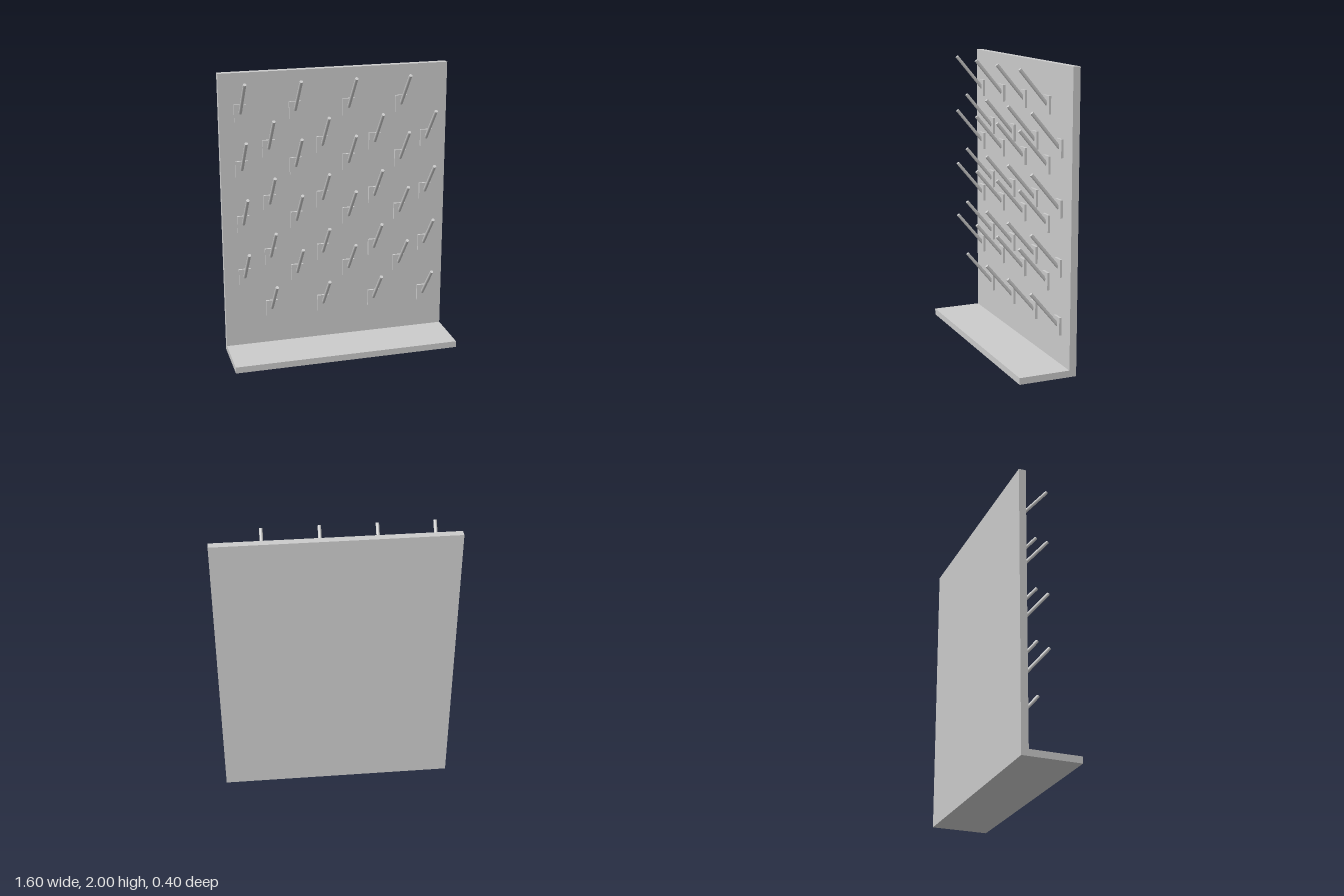
import * as THREE from 'three';

export function createModel() {
  const model = new THREE.Group();
  model.name = 'pegBoardStand';
  const material = new THREE.MeshStandardMaterial({ color: 0xcccccc });

  // L-shaped stand: upright board and foot in one profile (z, y), extruded along x
  const width = 1.596;
  const profile = new THREE.Shape([
    [-0.2, 0], [0.2, 0], [0.2, 0.045], [-0.151, 0.045], [-0.151, 2], [-0.2, 2],
  ].map(([z, y]) => new THREE.Vector2(z, y)));
  const standGeometry = new THREE.ExtrudeGeometry(profile, { depth: width, bevelEnabled: false });
  standGeometry.translate(0, 0, -width / 2).rotateY(-Math.PI / 2);
  const stand = new THREE.Mesh(standGeometry, material);
  stand.name = 'boardAndFoot';
  model.add(stand);

  // One peg: a thin rod rising forward through a small collar plate
  const plateGeometry = new THREE.BoxGeometry(0.084, 0.118, 0.016);
  const rodGeometry = new THREE.CylinderGeometry(0.0115, 0.0115, 0.314, 20);
  function addPeg(x, y) {
    const peg = new THREE.Group();
    peg.name = 'peg';
    const plate = new THREE.Mesh(plateGeometry, material);
    plate.name = 'collarPlate';
    plate.position.z = -0.134;
    const rod = new THREE.Mesh(rodGeometry, material);
    rod.name = 'rod';
    rod.position.set(0, 0.111, -0.0415);
    rod.rotation.x = THREE.MathUtils.degToRad(40);
    peg.add(plate, rod);
    peg.position.set(x, y, 0);
    model.add(peg);
  }

  // Eight columns of four pegs, every other column staggered downward
  for (let column = 0; column < 8; column++) {
    const topY = column % 2 === 0 ? 1.732 : 1.478;
    for (let row = 0; row < 4; row++) {
      addPeg(-0.657 + column * 0.1867, topY - row * 0.389);
    }
  }

  return model;
}
